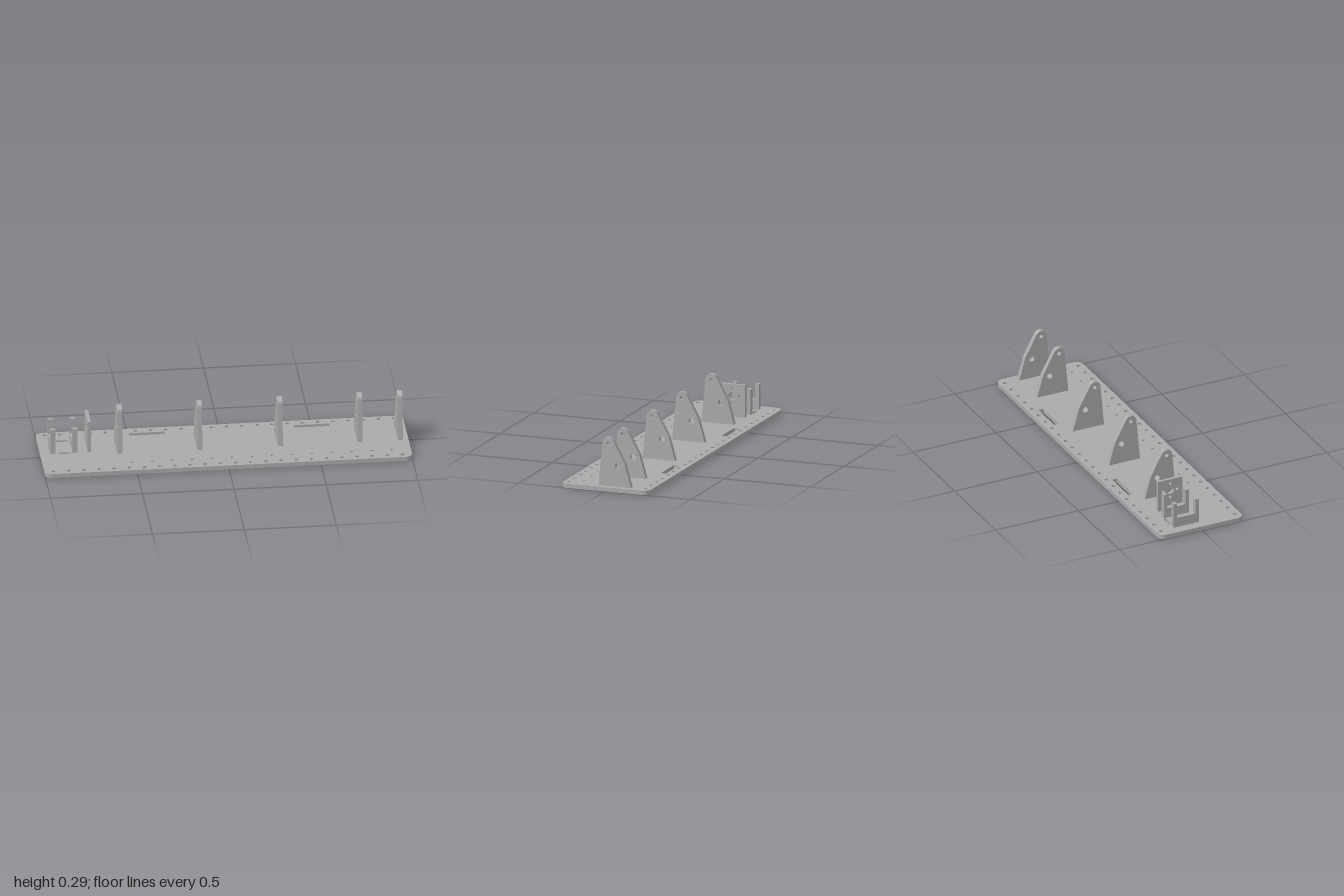
import * as THREE from 'three';

const BASE_TOP = 0.024;
const metal = new THREE.MeshStandardMaterial({ color: 0xaaaaaa });
metal.name = 'grey metal';

function addRoundHole(shape, x, y, r) {
  const hole = new THREE.Path();
  hole.absarc(x, y, r, 0, Math.PI * 2, true);
  shape.holes.push(hole);
}

function addSlot(shape, x0, x1, y0, y1) {
  shape.holes.push(new THREE.Path([[x0, y0], [x0, y1], [x1, y1], [x1, y0]].map(p => new THREE.Vector2(...p))));
}

function extrude(shape, depth) {
  return new THREE.ExtrudeGeometry(shape, { depth, bevelEnabled: false, curveSegments: 12 });
}

// Upright plate: the shape is drawn in (z, y) and thickened along x
function uprightGeometry(shape, thickness) {
  return extrude(shape, thickness).translate(0, 0, -thickness / 2).rotateY(-Math.PI / 2);
}

function baseGeometry() {
  const w = 1, d = 0.255, r = 0.04;
  const s = new THREE.Shape();
  s.absarc(w - r, d - r, r, 0, Math.PI / 2);
  s.absarc(-w + r, d - r, r, Math.PI / 2, Math.PI);
  s.absarc(-w + r, -d + r, r, Math.PI, Math.PI * 1.5);
  s.absarc(w - r, -d + r, r, Math.PI * 1.5, Math.PI * 2);
  s.closePath();
  // Edge rows of bolt holes
  for (let i = 0; i < 24; i++) {
    const x = -0.95 + i * 1.9 / 23;
    addRoundHole(s, x, 0.223, 0.012);
    addRoundHole(s, x, -0.223, 0.012);
  }
  // Inner row of small holes
  for (let i = 0; i < 14; i++) addRoundHole(s, -0.515 + i * 0.1087, -0.158, 0.009);
  // Long rear slots and the small strap slots
  addSlot(s, -0.497, -0.302, 0.168, 0.198);
  addSlot(s, 0.402, 0.595, 0.168, 0.198);
  addSlot(s, -0.898, -0.834, 0.134, 0.152);
  addSlot(s, -0.898, -0.834, -0.016, 0.002);
  return extrude(s, BASE_TOP).rotateX(-Math.PI / 2);
}

function bracketGeometry() {
  const s = new THREE.Shape();
  s.moveTo(-0.141, BASE_TOP);
  s.lineTo(0.047, BASE_TOP);
  s.absarc(-0.008, 0.262, 0.033, 0.1, 2.65);
  s.lineTo(-0.104, 0.155);
  s.closePath();
  addRoundHole(s, -0.008, 0.262, 0.0105);
  addRoundHole(s, -0.065, 0.139, 0.0165);
  return uprightGeometry(s, 0.027);
}

function motorPlateGeometry() {
  const s = new THREE.Shape([[-0.141, BASE_TOP], [0.007, BASE_TOP], [0.007, 0.205], [-0.141, 0.205]]
    .map(p => new THREE.Vector2(...p)));
  addRoundHole(s, -0.066, 0.139, 0.022);
  for (let i = 0; i < 4; i++) {
    const a = i * Math.PI / 2;
    addRoundHole(s, -0.066 + 0.041 * Math.cos(a), 0.139 + 0.041 * Math.sin(a), 0.008);
  }
  return uprightGeometry(s, 0.018);
}

function cradleGeometry() {
  const back = -0.145, front = 0.007, post = 0.021, top = 0.166, saddle = 0.08;
  const s = new THREE.Shape([
    [back, BASE_TOP], [front, BASE_TOP], [front, top], [front - post, top],
    [front - post, saddle], [back + post, saddle], [back + post, top], [back, top],
  ].map(p => new THREE.Vector2(...p)));
  return uprightGeometry(s, 0.028);
}

export function createModel() {
  const group = new THREE.Group();
  group.name = 'mountingPlate';
  const add = (name, geometry, x = 0) => {
    const mesh = new THREE.Mesh(geometry, metal);
    mesh.name = name;
    mesh.position.x = x;
    group.add(mesh);
  };

  add('basePlate', baseGeometry());

  // Row of shaft brackets
  const bracket = bracketGeometry();
  [-0.571, -0.136, 0.302, 0.736, 0.955].forEach((x, i) => add(`shaftBracket${i + 1}`, bracket, x));

  // Motor mount and its two forked cradles
  add('motorPlate', motorPlateGeometry(), -0.734);
  const cradle = cradleGeometry();
  add('outerCradle', cradle, -0.931);
  add('innerCradle', cradle, -0.811);
  return group;
}
